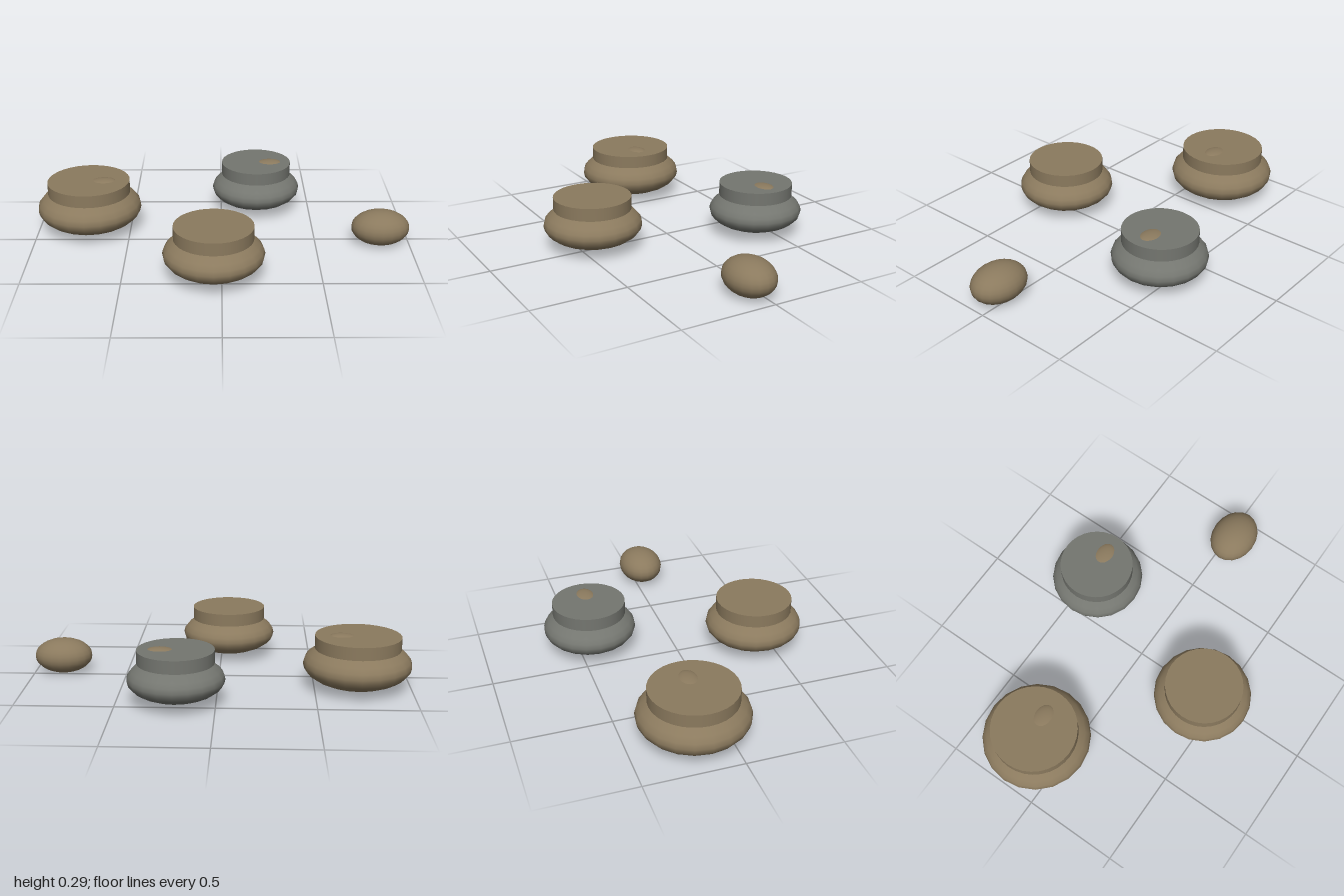
import * as THREE from 'three';

const brown = new THREE.MeshStandardMaterial({ name: 'brownStone', color: 0x8b7a5e });
const grey = new THREE.MeshStandardMaterial({ name: 'greyStone', color: 0x747670 });

// Smooth flattened stone
function stone(name, material, [x, y, z], [rx, ry, rz]) {
  const mesh = new THREE.Mesh(new THREE.SphereGeometry(1, 20, 14), material);
  mesh.name = name;
  mesh.position.set(x, y, z);
  mesh.scale.set(rx, ry, rz);
  return mesh;
}

// Boulder with a flat disc on top, and optionally a pebble poking out of it
function steppingStone({ name, material, x, z, radius, capRadius, pebbleX }) {
  const group = new THREE.Group();
  group.name = name;
  group.position.set(x, 0, z);
  group.add(stone('boulder', material, [0, 0.13, 0], [radius, radius * 0.43, radius]));

  const cap = new THREE.Mesh(new THREE.CylinderGeometry(capRadius, capRadius, 0.067, 32), material);
  cap.name = 'flatTop';
  cap.position.y = 0.2465;
  group.add(cap);

  if (pebbleX !== undefined) {
    const pebble = stone('pebble', brown, [pebbleX, 0.262, 0], [0.085, 0.026, 0.06]);
    pebble.rotation.z = 0.08;
    group.add(pebble);
  }
  return group;
}

export function createModel() {
  const model = new THREE.Group();
  model.name = 'steppingStones';
  const stones = [
    { name: 'largeStone', material: brown, x: -0.72, z: -0.16, radius: 0.281, capRadius: 0.222, pebbleX: 0.07 },
    { name: 'frontStone', material: brown, x: -0.04, z: 0.417, radius: 0.256, capRadius: 0.201 },
    { name: 'greyStone', material: grey, x: 0.197, z: -0.433, radius: 0.245, capRadius: 0.193, pebbleX: 0.065 },
  ];
  for (const s of stones) model.add(steppingStone(s));

  // Loose stone to the side
  model.add(stone('looseStone', brown, [0.844, 0.094, 0.043], [0.154, 0.093, 0.122]));
  return model;
}
